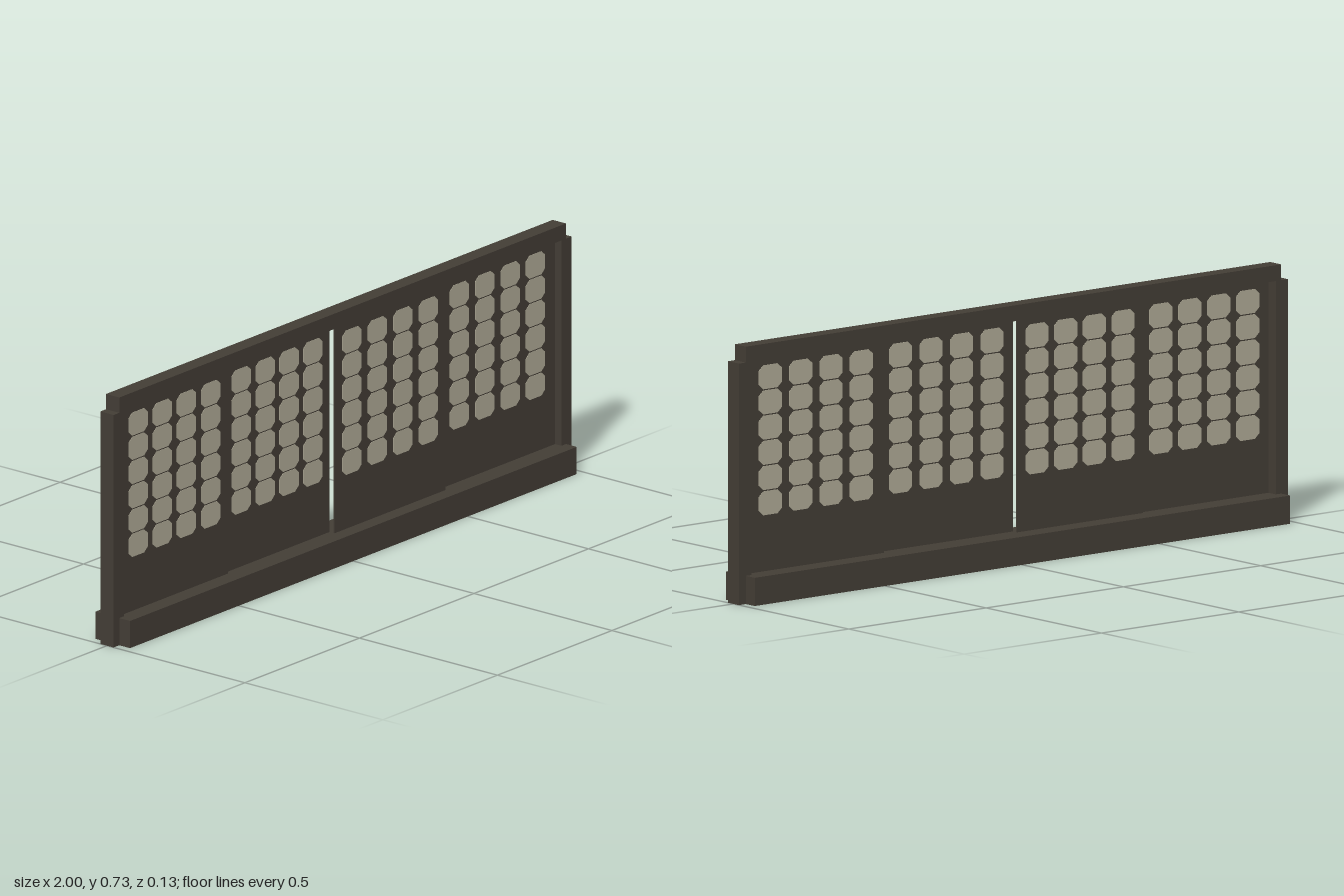
import * as THREE from 'three';

export function createModel() {
  const wood = new THREE.MeshStandardMaterial({ color: 0x443e36 });
  wood.name = 'dark wood';
  const paper = new THREE.MeshStandardMaterial({ color: 0xb2ad99 });
  paper.name = 'pale paper';

  const root = new THREE.Group();
  root.name = 'slidingScreen';

  const box = (name, parent, x0, x1, y0, y1, z0, z1) => {
    const mesh = new THREE.Mesh(new THREE.BoxGeometry(x1 - x0, y1 - y0, z1 - z0), wood);
    mesh.position.set((x0 + x1) / 2, (y0 + y1) / 2, (z0 + z1) / 2);
    mesh.name = name;
    parent.add(mesh);
    return mesh;
  };

  // Outer frame
  box('leftPost', root, 0.955, 1, 0, 0.685, -0.024, 0.024);
  box('rightPost', root, -1, -0.955, 0, 0.685, -0.024, 0.024);
  box('topBeam', root, -0.975, 0.975, 0.685, 0.73, -0.024, 0.024);
  box('sillCore', root, -0.955, 0.955, 0, 0.08, -0.024, 0.024);
  box('frontSill', root, -0.975, 0.975, 0, 0.08, 0.024, 0.063);
  box('backSill', root, -0.975, 0.975, 0, 0.08, -0.063, -0.024);

  // Window pane outline: rectangle with cut corners
  const paneGeometry = (w, h) => {
    const a = w / 2, b = h / 2, c = 0.016, d = 0.014;
    const shape = new THREE.Shape([
      [-a + c, -b], [a - c, -b], [a, -b + d], [a, b - d],
      [a - c, b], [-a + c, b], [-a, b - d], [-a, -b + d],
    ].map(([x, y]) => new THREE.Vector2(x, y)));
    return new THREE.ExtrudeGeometry(shape, { depth: 0.006, bevelEnabled: false }).translate(0, 0, -0.003);
  };
  const pane = paneGeometry(0.084, 0.068);

  // Four staggered sliding panels, each with a grid of panes showing on both sides
  const panels = [
    { x0: -0.957, x1: -0.485, z: 0.01, first: -0.879, pitch: 0.1055 },
    { x0: -0.49, x1: -0.03, z: -0.001, first: -0.416, pitch: 0.1045 },
    { x0: -0.03, x1: 0.455, z: 0.017, first: 0.046, pitch: 0.111 },
    { x0: 0.455, x1: 0.957, z: -0.001, first: 0.537, pitch: 0.1105 },
  ];
  panels.forEach(({ x0, x1, z, first, pitch }, i) => {
    const panel = new THREE.Group();
    panel.name = `slidingPanel${i + 1}`;
    box('panelBoard', panel, x0, x1, 0.075, 0.688, z - 0.002, z + 0.002);
    const panes = new THREE.Group();
    panes.name = 'paperPanes';
    for (let col = 0; col < 4; col++) {
      for (let row = 0; row < 6; row++) {
        const mesh = new THREE.Mesh(pane, paper);
        mesh.name = 'pane';
        mesh.position.set(first + col * pitch, 0.273 + row * 0.0715, z);
        panes.add(mesh);
      }
    }
    panel.add(panes);
    root.add(panel);
  });

  return root;
}
